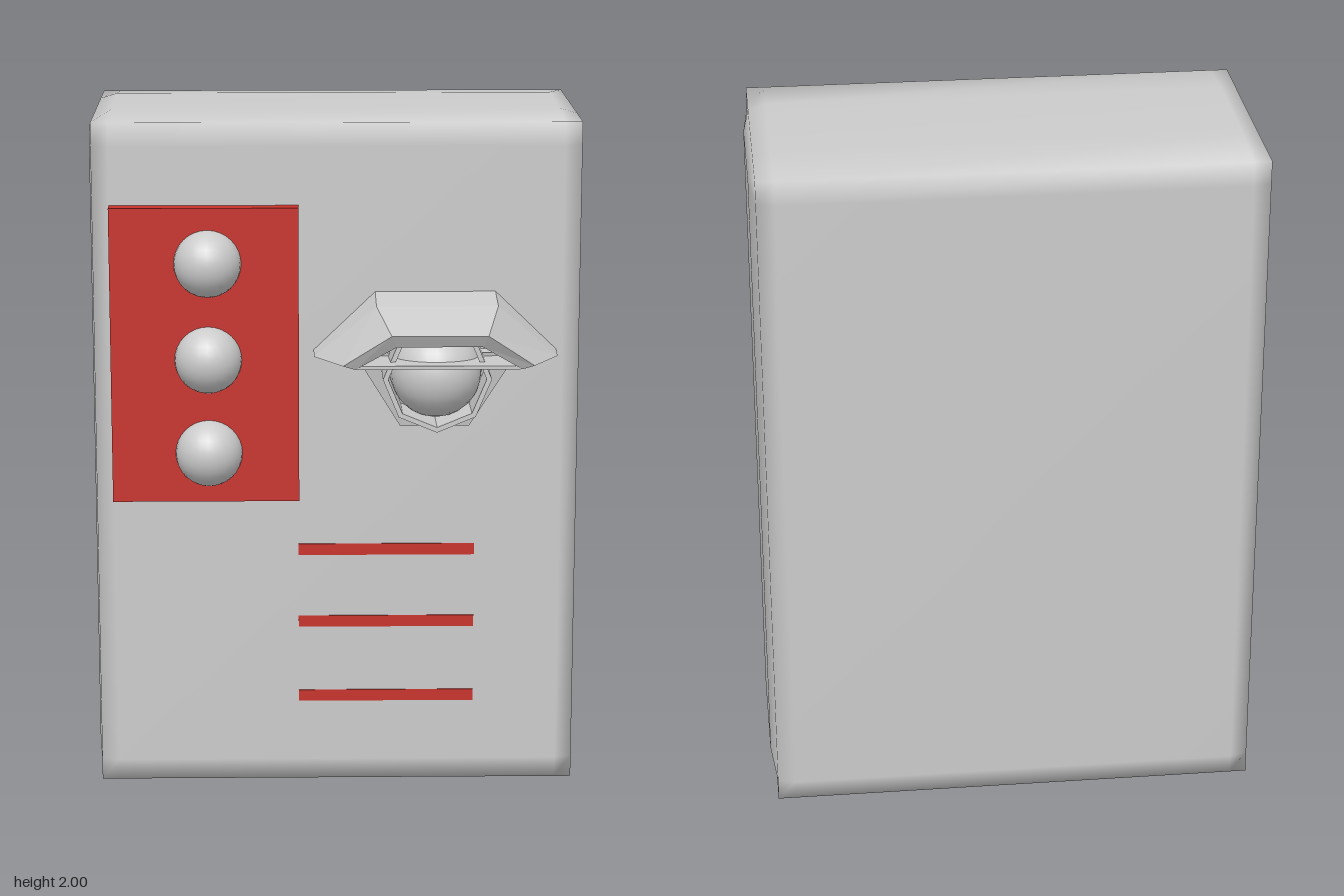
import * as THREE from 'three';
import { mergeVertices } from 'three/addons/utils/BufferGeometryUtils.js';

const grey = new THREE.MeshStandardMaterial({ color: 0xcccccc });
const flatGrey = new THREE.MeshStandardMaterial({ color: 0xcccccc, flatShading: true, side: THREE.DoubleSide });
const red = new THREE.MeshStandardMaterial({ color: 0xc8322b });

function add(parent, name, geometry, material, x = 0, y = 0, z = 0) {
  const mesh = new THREE.Mesh(geometry, material);
  mesh.name = name;
  mesh.position.set(x, y, z);
  parent.add(mesh);
  return mesh;
}

// Box with softly bulging faces: edges and corners are pulled in slightly
function bulgedBox(half, inner, pull) {
  const g = new THREE.BoxGeometry(2, 2, 2, 3, 3, 3);
  const p = g.attributes.position;
  for (let i = 0; i < p.count; i++) {
    const v = [p.getX(i), p.getY(i), p.getZ(i)];
    const extremes = v.filter(c => Math.abs(c) > 0.9).length;
    const w = v.map((c, a) => Math.sign(c) *
      (Math.abs(c) > 0.9 ? half[a] - (extremes > 1 ? pull : 0) : inner[a]));
    p.setXYZ(i, ...w);
  }
  g.deleteAttribute('uv');
  g.deleteAttribute('normal');
  const merged = mergeVertices(g);
  merged.computeVertexNormals();
  return merged;
}

// Skin between closed loops that have the same number of points
function loft(loops) {
  const n = loops[0].length, index = [];
  for (let s = 0; s < loops.length - 1; s++) {
    for (let i = 0; i < n; i++) {
      const a = s * n + i, b = s * n + (i + 1) % n;
      index.push(a, a + n, b, b, a + n, b + n);
    }
  }
  const g = new THREE.BufferGeometry();
  g.setAttribute('position', new THREE.Float32BufferAttribute(loops.flat(2), 3));
  g.setIndex(index);
  const flat = g.toNonIndexed();
  flat.computeVertexNormals();
  return flat;
}

// Mirror a left-to-centre run of points into a full symmetric run
const mirror = pts => [...pts, ...pts.slice().reverse().map(([x, y, z]) => [-x, y, z])];

export function createModel() {
  const model = new THREE.Group();

  // Cabinet
  add(model, 'cabinet', bulgedBox([0.715, 1, 0.37], [0.65, 0.92, 0.18], 0.015), grey, 0, 1, -0.15);

  // Button panel
  add(model, 'buttonPanel', new THREE.BoxGeometry(0.54, 0.86, 0.07), red, -0.38, 1.32, 0.235);
  for (const y of [1.59, 1.31, 1.035])
    add(model, 'button', new THREE.SphereGeometry(0.097, 24, 16), grey, -0.37, y, 0.265);

  // Slots
  for (const y of [0.73, 0.51, 0.28])
    add(model, 'slot', new THREE.BoxGeometry(0.515, 0.034, 0.04), red, 0.145, y, 0.203);

  // Lamp
  const lamp = new THREE.Group();
  lamp.name = 'lamp';
  lamp.position.x = 0.283;
  model.add(lamp);

  // Hood: back, crease, front rim, then the underside back to the cabinet
  add(lamp, 'hood', loft([
    mirror([[-0.35, 1.33, 0.21], [-0.173, 1.5, 0.21]]),
    mirror([[-0.35, 1.32, 0.275], [-0.173, 1.48, 0.345]]),
    mirror([[-0.27, 1.33, 0.45], [-0.135, 1.43, 0.52]]),
    mirror([[-0.235, 1.32, 0.45], [-0.12, 1.395, 0.5]]),
    mirror([[-0.235, 1.32, 0.21], [-0.12, 1.395, 0.21]]),
    mirror([[-0.35, 1.33, 0.21], [-0.173, 1.5, 0.21]]),
  ]), flatGrey);

  // Sloping bracket below the hood
  add(lamp, 'bracket', loft([
    mirror([[-0.235, 1.33, 0.21], [-0.1, 1.105, 0.21]]),
    mirror([[-0.235, 1.33, 0.275], [-0.1, 1.105, 0.235]]),
    mirror([[-0.12, 1.33, 0.275], [-0.06, 1.2, 0.25]]),
    mirror([[0, 1.33, 0.275], [0, 1.2, 0.25]]),
  ]), flatGrey);

  // Eight-sided socket and bulb
  const profile = [[0.14, 0.21], [0.155, 0.21], [0.155, 0.38], [0.14, 0.38], [0.14, 0.21]]
    .map(([r, z]) => new THREE.Vector2(r, z));
  const socket = add(lamp, 'socket', new THREE.LatheGeometry(profile, 8), flatGrey, 0, 1.275, 0);
  socket.rotation.x = Math.PI / 2;
  add(lamp, 'bulb', new THREE.SphereGeometry(0.132, 24, 16), grey, 0, 1.275, 0.265);

  return model;
}
